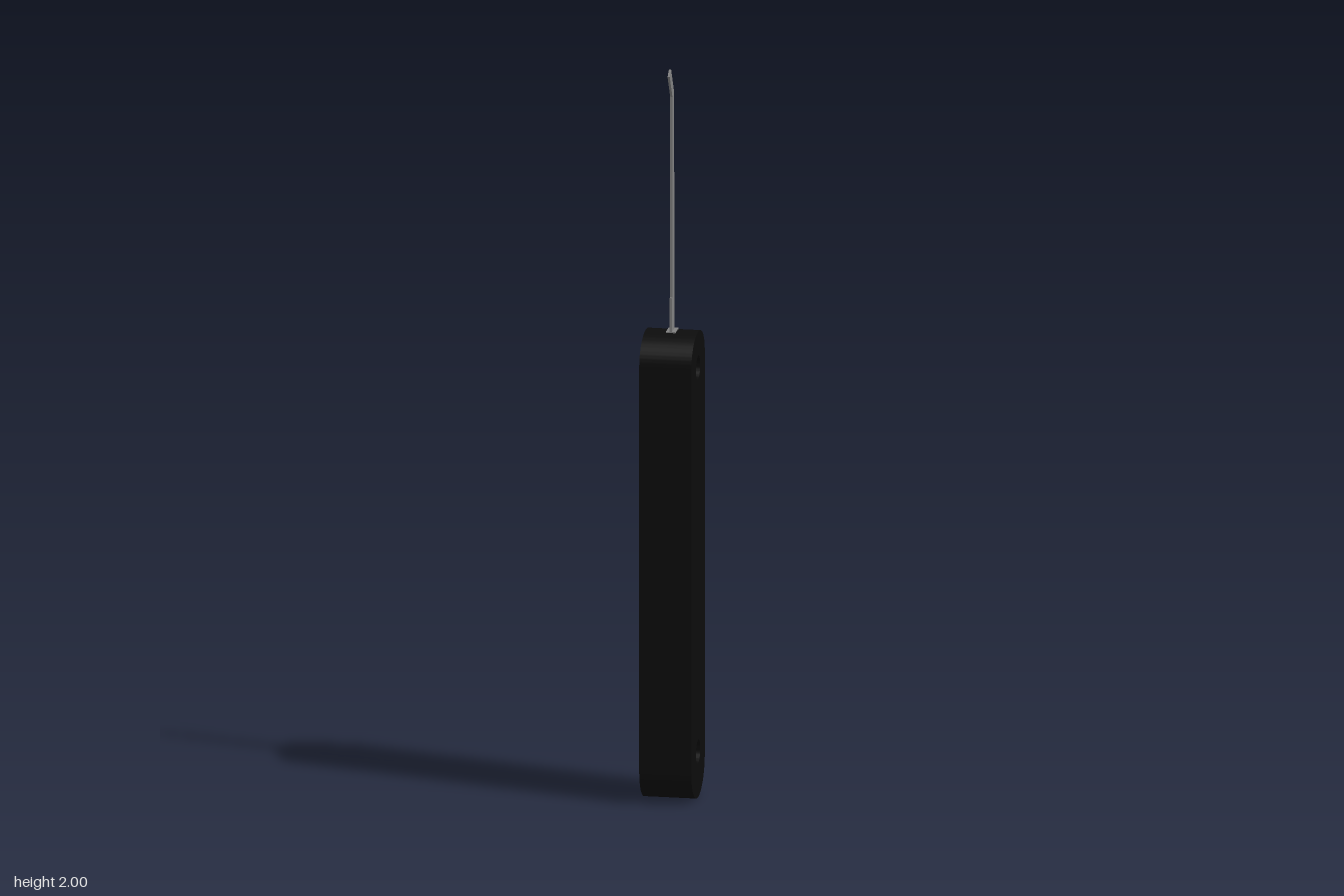
import * as THREE from 'three';
import { toCreasedNormals } from 'three/addons/utils/BufferGeometryUtils.js';

const black = new THREE.MeshStandardMaterial({ color: 0x0c0c0c });
const steel = new THREE.MeshStandardMaterial({ color: 0x808080 });

// Extrudes a side profile drawn in (z, y) to a given thickness centred on x = 0
function sideProfile(shape, thickness) {
  const g = new THREE.ExtrudeGeometry(shape, { depth: thickness, bevelEnabled: false, curveSegments: 24 });
  g.translate(0, 0, -thickness / 2);
  g.rotateY(-Math.PI / 2);
  return toCreasedNormals(g, 0.5);
}

export function createModel() {
  const group = new THREE.Group();
  const add = (name, geometry, material) => {
    const mesh = new THREE.Mesh(geometry, material);
    mesh.name = name;
    group.add(mesh);
    return mesh;
  };

  const rivetHeights = [0.125, 1.178];
  const rivetRadius = 0.032;

  // Handle: rounded ends, bored through at both rivets
  const handle = new THREE.Shape();
  handle.moveTo(0.1, 0.09);
  handle.lineTo(0.1, 1.2);
  handle.absellipse(0, 1.2, 0.1, 0.076, 0, Math.PI, false);
  handle.lineTo(-0.1, 0.09);
  handle.absellipse(0, 0.09, 0.1, 0.09, Math.PI, Math.PI * 2, false);
  for (const y of rivetHeights) {
    handle.holes.push(new THREE.Path().absarc(0, y, rivetRadius, 0, Math.PI * 2, true));
  }
  add('handle', sideProfile(handle, 0.14), black);

  // Rivets sit slightly below the handle's faces
  for (const y of rivetHeights) {
    const g = new THREE.CylinderGeometry(rivetRadius, rivetRadius, 0.11, 32);
    g.rotateZ(Math.PI / 2);
    add('rivet', g, steel).position.y = y;
  }

  // Blade socket, flush with the handle's top
  add('bladeSocket', new THREE.BoxGeometry(0.026, 0.06, 0.045), steel).position.set(0, 1.2475, -0.0025);

  // Thin blade with a stepped base and a hooked tip
  const blade = new THREE.Shape([
    [-0.019, 1.22], [0.019, 1.22], [0.019, 1.37], [0.01, 1.37], [0.01, 1.92],
    [0.05, 1.985], [0.029, 2.0], [-0.012, 1.932], [-0.013, 1.72], [-0.019, 1.7],
  ].map(([z, y]) => new THREE.Vector2(z, y)));
  add('blade', sideProfile(blade, 0.006), steel);

  return group;
}
